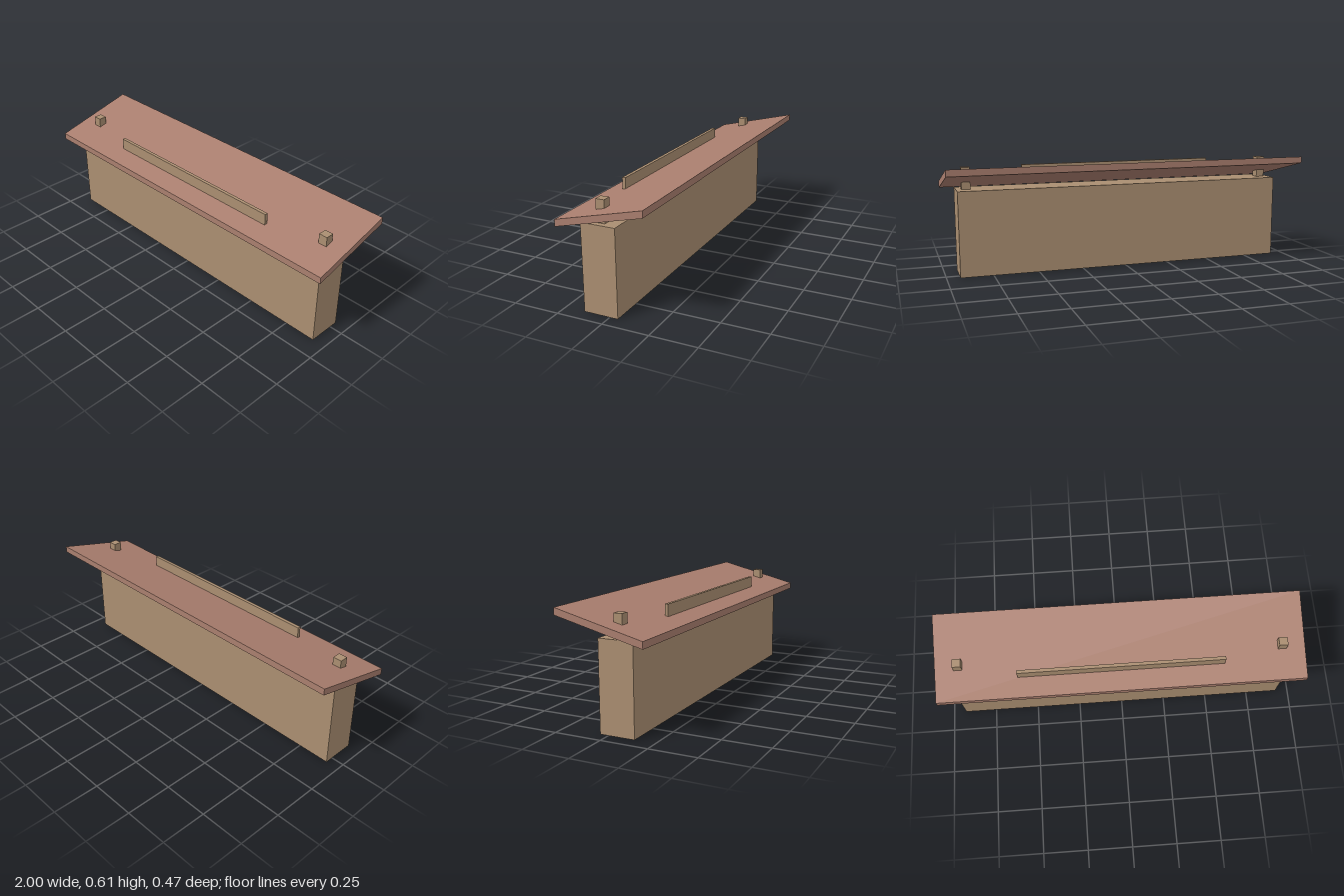
import * as THREE from 'three';

export function createModel() {
  const model = new THREE.Group();
  model.name = 'slopedTopCounter';

  const tan = new THREE.MeshStandardMaterial({ color: 0xaa8e71 });
  tan.name = 'tan wall';
  const clay = new THREE.MeshStandardMaterial({ color: 0xa97e6e });
  clay.name = 'clay slab';

  // Box given by its limits on each axis
  function block(name, material, [x0, x1], [y0, y1], [z0, z1]) {
    const mesh = new THREE.Mesh(new THREE.BoxGeometry(x1 - x0, y1 - y0, z1 - z0), material);
    mesh.position.set((x0 + x1) / 2, (y0 + y1) / 2, (z0 + z1) / 2);
    mesh.name = name;
    model.add(mesh);
  }

  // Solid body
  block('body', tan, [-0.928, 0.928], [0, 0.465], [-0.045, 0.141]);

  // Sloped slab with upright ends: side profile swept along x
  const profile = new THREE.Shape([
    new THREE.Vector2(-0.233, 0.453),
    new THREE.Vector2(0.233, 0.569),
    new THREE.Vector2(0.233, 0.605),
    new THREE.Vector2(-0.233, 0.489),
  ]);
  const slabGeometry = new THREE.ExtrudeGeometry(profile, { depth: 2, bevelEnabled: false });
  slabGeometry.translate(0, 0, -1).rotateY(Math.PI / 2);
  const slab = new THREE.Mesh(slabGeometry, clay);
  slab.name = 'slopedSlab';
  model.add(slab);

  // Square posts passing through the slab
  for (const [name, x] of [['leftPost', 0.875], ['rightPost', -0.875]]) {
    block(name, tan, [x - 0.0235, x + 0.0235], [0.465, 0.583], [0.024, 0.07]);
  }

  // Thin ledge strip standing on the slab
  block('ledgeStrip', tan, [-0.558, 0.558], [0.51, 0.578], [0.109, 0.127]);

  return model;
}
